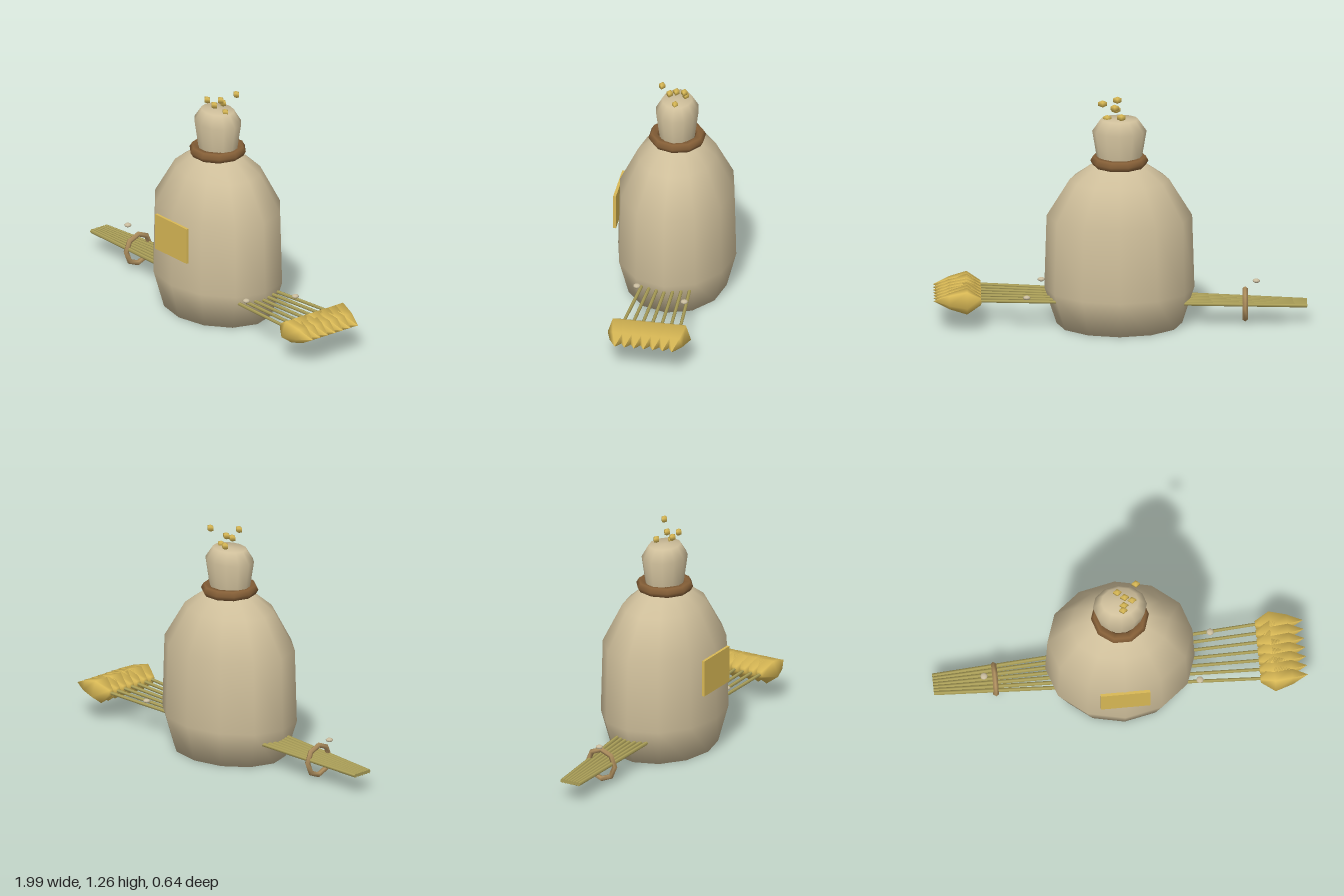
import * as THREE from 'three';

const mat = (name, color) => new THREE.MeshStandardMaterial({ name, color });
const V2 = ([x, y]) => new THREE.Vector2(x, y);

export function createModel() {
  const burlap = mat('burlap', 0xcfbf9b);
  const rope = mat('rope', 0x855f37);
  const twine = mat('twine', 0xb0905f);
  const gold = mat('grain gold', 0xd8b855);
  const straw = mat('straw', 0xaea25a);
  const husk = mat('husk', 0xcabd9f);

  const model = new THREE.Group();
  model.name = 'grainSack';
  const add = (name, geometry, material, x = 0, y = 0, z = 0, parent = model) => {
    const mesh = new THREE.Mesh(geometry, material);
    mesh.name = name;
    mesh.position.set(x, y, z);
    parent.add(mesh);
    return mesh;
  };

  // Oval sack body and the gathered neck above the tie
  const body = [[0, 0], [0.335, 0], [0.4, 0.2], [0.388, 0.6], [0.265, 0.8], [0.15, 0.88], [0, 0.9]];
  const neck = [[0.11, 0.87], [0.12, 0.92], [0.145, 1.07], [0.1, 1.135], [0, 1.135]];
  add('sackBody', new THREE.LatheGeometry(body.map(V2), 12), burlap).scale.z = 0.8;
  add('sackNeck', new THREE.LatheGeometry(neck.map(V2), 12), burlap).scale.z = 0.8;

  // Rope tie
  const tie = new THREE.TorusGeometry(0.126, 0.029, 6, 10);
  add('neckTie', tie, rope, 0, 0.905, 0).rotation.x = Math.PI / 2;

  // Front patch
  add('patch', new THREE.BoxGeometry(0.265, 0.2, 0.015), gold, 0, 0.47, 0.315);

  // Fan of stalks running beneath the sack, each with an ear
  const sheaf = new THREE.Group();
  sheaf.name = 'sheaf';
  model.add(sheaf);
  const earProfile = [[0, 0], [0.022, 0], [0.075, 0.075], [0.045, 0.17], [0, 0.255]];
  const earGeometry = new THREE.LatheGeometry(earProfile.map(V2), 5, Math.PI / 2);
  const up = new THREE.Vector3(0, 1, 0);
  for (let i = -3; i <= 3; i++) {
    const a = new THREE.Vector3(-1, 0.106, i * 0.0165);
    const b = new THREE.Vector3(0.745, 0.17, i * 0.0515);
    const dir = b.clone().sub(a);
    const stalk = add('stalk', new THREE.CylinderGeometry(0.009, 0.012, dir.length(), 5), straw, 0, 0, 0, sheaf);
    stalk.position.copy(a).add(b).multiplyScalar(0.5);
    stalk.quaternion.setFromUnitVectors(up, dir.normalize());
    add('ear', earGeometry, gold, 0.738, b.y, b.z, sheaf).rotation.z = -Math.PI / 2;
  }

  // Twine loop around the stalk ends
  const loop = new THREE.TorusGeometry(0.083, 0.015, 5, 8);
  add('twineLoop', loop, twine, -0.67, 0.102, 0).rotation.y = Math.PI / 2;

  // Loose husks resting near the stalks
  const huskGeometry = new THREE.SphereGeometry(0.02, 8, 6);
  for (const [x, y, z] of [[-0.73, 0.224, 0.022], [0.415, 0.2, 0.142], [0.495, 0.18, -0.13]])
    add('husk', huskGeometry, husk, x, y, z).scale.y = 0.55;

  // Grains spilling above the neck
  const grainGeometry = new THREE.SphereGeometry(0.02, 4, 3);
  const grains = [[0.09, 1.236, -0.055], [0.01, 1.215, 0.08], [0.025, 1.195, 0],
    [0.018, 1.175, 0.038], [-0.01, 1.156, -0.045], [0.065, 1.138, 0]];
  for (const [x, y, z] of grains)
    add('grain', grainGeometry, gold, x, y, z).scale.x = 1.35;

  return model;
}
